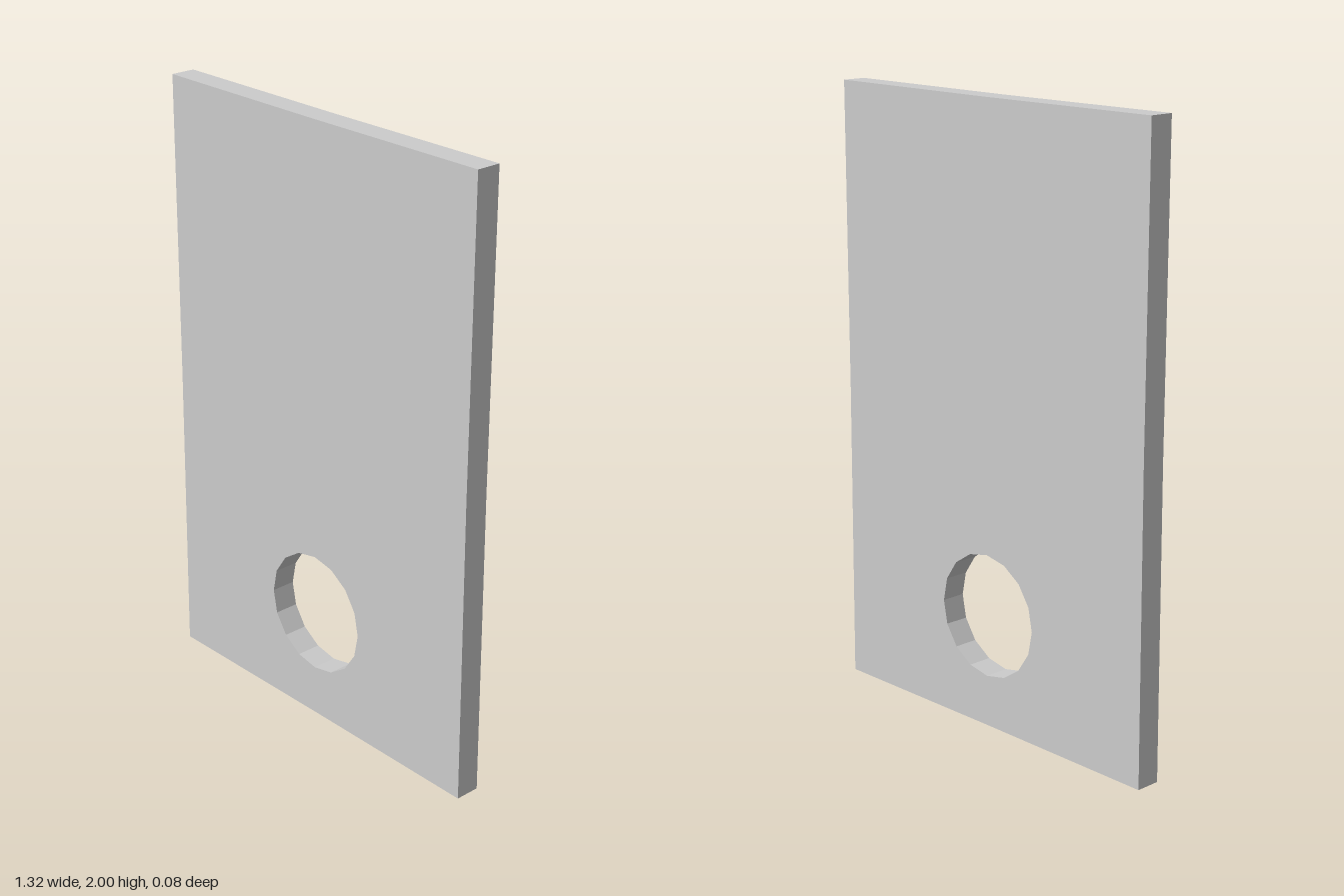
import * as THREE from 'three';

const HALF_WIDTH = 0.658, HEIGHT = 2, DEPTH = 0.082;
const BOW = 0.004; // the edges bow in very slightly at mid-length
const HOLE = { y: 0.372, radius: 0.202, sides: 16 };

export function createModel() {
  const group = new THREE.Group();
  group.name = 'plate';

  // Plate outline, counter-clockwise from the lower corner
  const outline = new THREE.Shape([
    [-HALF_WIDTH, 0], [0, BOW / 2], [HALF_WIDTH, 0], [HALF_WIDTH - BOW, HEIGHT / 2],
    [HALF_WIDTH, HEIGHT], [0, HEIGHT - BOW / 2], [-HALF_WIDTH, HEIGHT], [BOW - HALF_WIDTH, HEIGHT / 2],
  ].map(([x, y]) => new THREE.Vector2(x, y)));

  // Sixteen-sided through hole near the bottom
  const rim = [];
  for (let i = 0; i < HOLE.sides; i++) {
    const a = -i / HOLE.sides * Math.PI * 2;
    rim.push(new THREE.Vector2(Math.cos(a) * HOLE.radius, HOLE.y + Math.sin(a) * HOLE.radius));
  }
  outline.holes.push(new THREE.Path(rim));

  const geometry = new THREE.ExtrudeGeometry(outline, { depth: DEPTH, bevelEnabled: false });
  geometry.translate(0, 0, -DEPTH / 2);

  const panel = new THREE.Mesh(geometry, new THREE.MeshStandardMaterial({ color: 0xcccccc, flatShading: true }));
  panel.name = 'panelWithHole';
  group.add(panel);
  return group;
}
